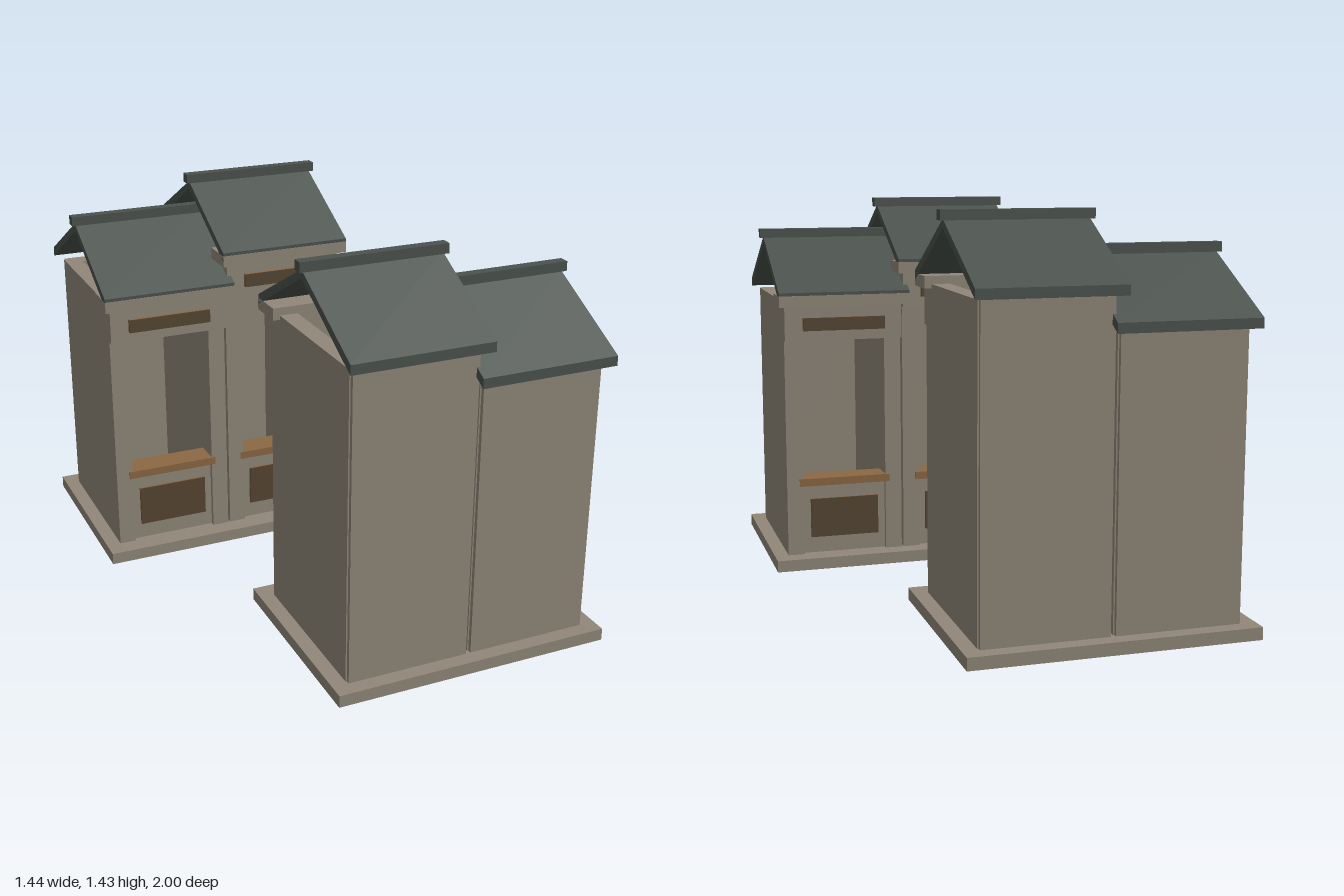
import * as THREE from 'three';

const material = (name, color) => {
  const m = new THREE.MeshStandardMaterial({ color });
  m.name = name;
  return m;
};

export function createModel() {
  const stone = material('stone', 0x91887a);
  const slate = material('slate', 0x4b524d);
  const wood = material('wood', 0x8c6844);
  const darkWood = material('dark wood', 0x564633);

  // Box given by its limits on each axis
  function box(parent, name, mat, [x0, x1], [y0, y1], [z0, z1]) {
    const mesh = new THREE.Mesh(new THREE.BoxGeometry(x1 - x0, y1 - y0, z1 - z0), mat);
    mesh.position.set((x0 + x1) / 2, (y0 + y1) / 2, (z0 + z1) / 2);
    mesh.name = name;
    parent.add(mesh);
  }

  // Open chevron roof, extruded along x
  function roof(parent, top) {
    const shape = new THREE.Shape();
    const pts = [[0, 0.235], [0.37, 0.04], [0.37, 0.005], [0, 0.205], [-0.37, 0.005], [-0.37, 0.04]];
    shape.setFromPoints(pts.map(([z, y]) => new THREE.Vector2(z, y)));
    const geo = new THREE.ExtrudeGeometry(shape, { depth: 0.51, bevelEnabled: false });
    geo.translate(0, 0, -0.255);
    geo.rotateY(Math.PI / 2);
    const mesh = new THREE.Mesh(geo, slate);
    mesh.position.set(0, top, -0.62);
    mesh.name = 'roof';
    parent.add(mesh);
    box(parent, 'ridgeCap', slate, [-0.27, 0.27], [top + 0.23, top + 0.265], [-0.64, -0.6]);
  }

  // One stall facing +z, with its wall top at the given height
  function stall(name, cx, top) {
    const g = new THREE.Group();
    g.name = name;
    g.position.x = cx;
    const floor = 0.045;

    // Walls, open at the top
    box(g, 'rightWall', stone, [-0.23, -0.165], [floor, top], [-0.93, -0.307]);
    box(g, 'leftWall', stone, [0.165, 0.23], [floor, top], [-0.93, -0.307]);
    box(g, 'backWall', stone, [-0.225, 0.225], [floor, top], [-0.945, -0.88]);

    // Lintel and cornice over the opening
    box(g, 'lintel', stone, [-0.23, 0.23], [top - 0.15, top], [-0.36, -0.283]);
    box(g, 'cornice', stone, [-0.255, 0.255], [top - 0.015, top + 0.028], [-0.382, -0.248]);

    // Sign board with a dark face
    box(g, 'signBoard', wood, [-0.16, 0.16], [top - 0.11, top - 0.06], [-0.29, -0.27]);
    box(g, 'signFace', darkWood, [-0.16, 0.16], [top - 0.11, top - 0.06], [-0.27, -0.265]);

    // Counter
    box(g, 'counterWall', stone, [-0.165, 0.165], [floor, 0.32], [-0.4, -0.325]);
    box(g, 'counterPanel', wood, [-0.135, 0.135], [0.11, 0.265], [-0.33, -0.317]);
    box(g, 'counterPanelFace', darkWood, [-0.135, 0.135], [0.11, 0.265], [-0.317, -0.312]);
    box(g, 'counterTop', wood, [-0.18, 0.18], [0.32, 0.35], [-0.41, -0.303]);

    roof(g, top);
    return g;
  }

  // A pair of stalls on a shared plinth
  function block(name) {
    const g = new THREE.Group();
    g.name = name;
    box(g, 'plinth', stone, [-0.722, 0.315], [0, 0.045], [-1, -0.235]);
    g.add(stall('lowStall', -0.438, 1.05), stall('tallStall', 0.03, 1.17));
    return g;
  }

  // Two blocks face each other across a lane
  const model = new THREE.Group();
  model.name = 'marketStalls';
  const backBlock = block('backBlock');
  const frontBlock = block('frontBlock');
  frontBlock.rotation.y = Math.PI;
  model.add(backBlock, frontBlock);
  return model;
}
